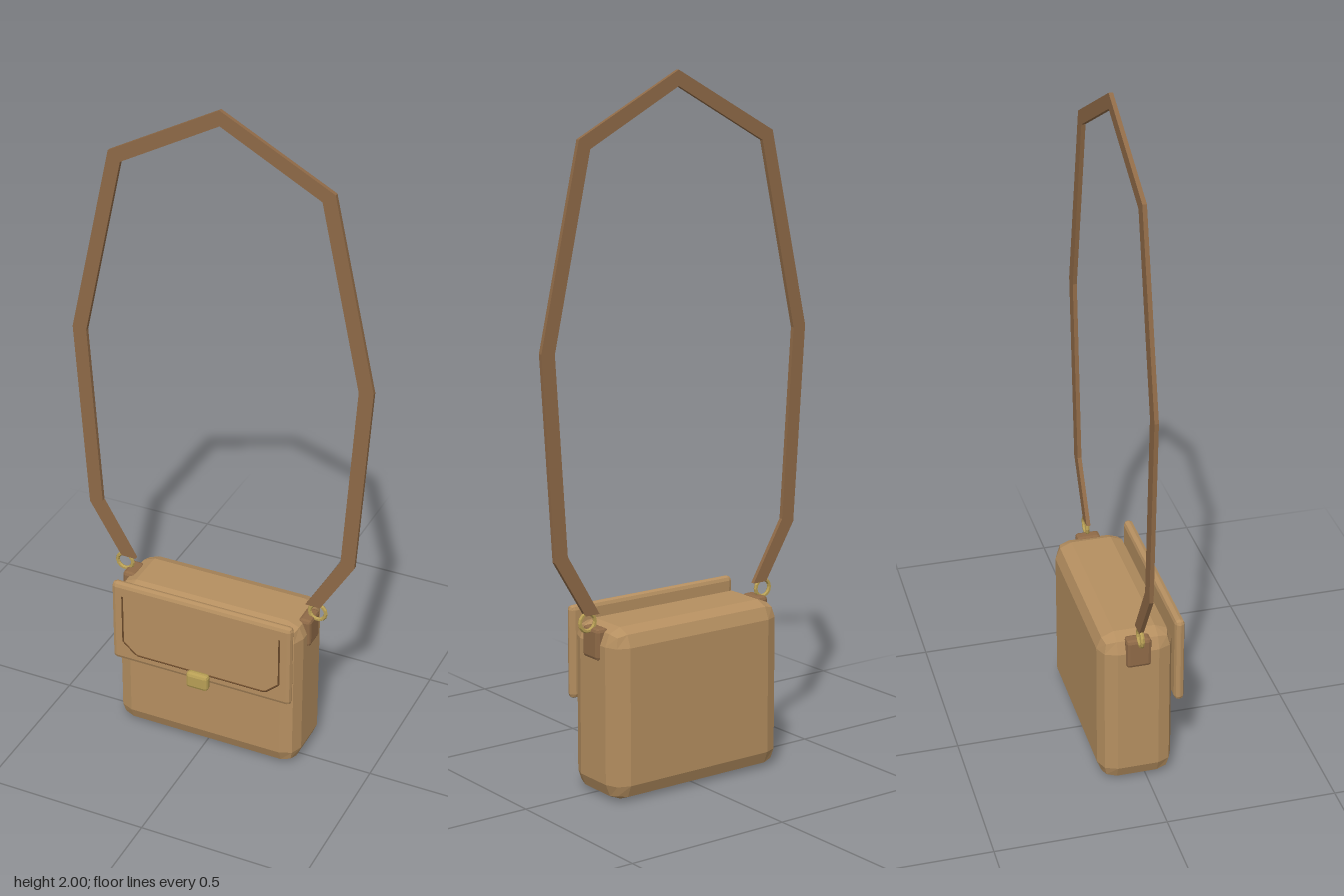
import * as THREE from 'three';
import { RoundedBoxGeometry } from 'three/addons/geometries/RoundedBoxGeometry.js';

const material = (name, color) => {
  const m = new THREE.MeshStandardMaterial({ color, flatShading: true });
  m.name = name;
  return m;
};

export function createModel() {
  const tan = material('tan leather', 0xb58f60);
  const brown = material('brown leather', 0x8f6a47);
  const brass = material('brass', 0xb89f55);
  const thread = material('dark thread', 0x6b4a2b);

  const bag = new THREE.Group();
  bag.name = 'shoulderBag';
  const midZ = -0.028;

  const add = (name, geometry, mat, x = 0, y = 0, z = 0) => {
    const mesh = new THREE.Mesh(geometry, mat);
    mesh.name = name;
    mesh.position.set(x, y, z);
    bag.add(mesh);
    return mesh;
  };
  // Box with two-step bevelled edges
  const bevelBox = (w, h, d, r) => new RoundedBoxGeometry(w, h, d, 1, r);

  add('body', bevelBox(0.585, 0.495, 0.22, 0.05), tan, 0, 0.2475, midZ);
  add('flap', bevelBox(0.572, 0.27, 0.029, 0.013), tan, 0, 0.387, 0.096);
  add('clasp', bevelBox(0.07, 0.052, 0.027, 0.01), brass, 0, 0.266, 0.124);

  // Stitch line along the sides and bottom of the flap
  const stitchPoints = [[-0.25, 0.48], [-0.25, 0.32], [-0.207, 0.282], [0.207, 0.282], [0.25, 0.32], [0.25, 0.48]]
    .map(([x, y]) => new THREE.Vector3(x, y, 0.1095));
  const stitchPath = new THREE.CurvePath();
  for (let i = 0; i < stitchPoints.length - 1; i++) {
    stitchPath.add(new THREE.LineCurve3(stitchPoints[i], stitchPoints[i + 1]));
  }
  add('flapStitching', new THREE.TubeGeometry(stitchPath, 80, 0.003, 5), thread);

  // Side tabs and the rings they carry
  for (const [side, s] of [['left', 1], ['right', -1]]) {
    add(side + 'Tab', bevelBox(0.04, 0.09, 0.073, 0.01), brown, s * 0.282, 0.445, midZ);
    add(side + 'Ring', new THREE.TorusGeometry(0.025, 0.006, 6, 14), brass, s * 0.309, 0.506, midZ);
  }

  // Flat strap: outer edge up and over, inner edge back
  const outer = [[0.318, 0.525], [0.418, 0.69], [0.455, 1.265], [0.329, 1.826]];
  const inner = [[0.272, 0.525], [0.376, 0.702], [0.412, 1.26], [0.293, 1.799]];
  const mirror = (points) => points.map(([x, y]) => [-x, y]);
  const outline = [
    ...outer, [0, 2], ...mirror(outer).reverse(),
    ...mirror(inner), [0, 1.956], ...inner.slice().reverse(),
  ].map(([x, y]) => new THREE.Vector2(x, y));
  const strap = new THREE.ExtrudeGeometry(new THREE.Shape(outline), { depth: 0.012, bevelEnabled: false });
  add('strap', strap, brown, 0, 0, midZ - 0.006);

  return bag;
}
